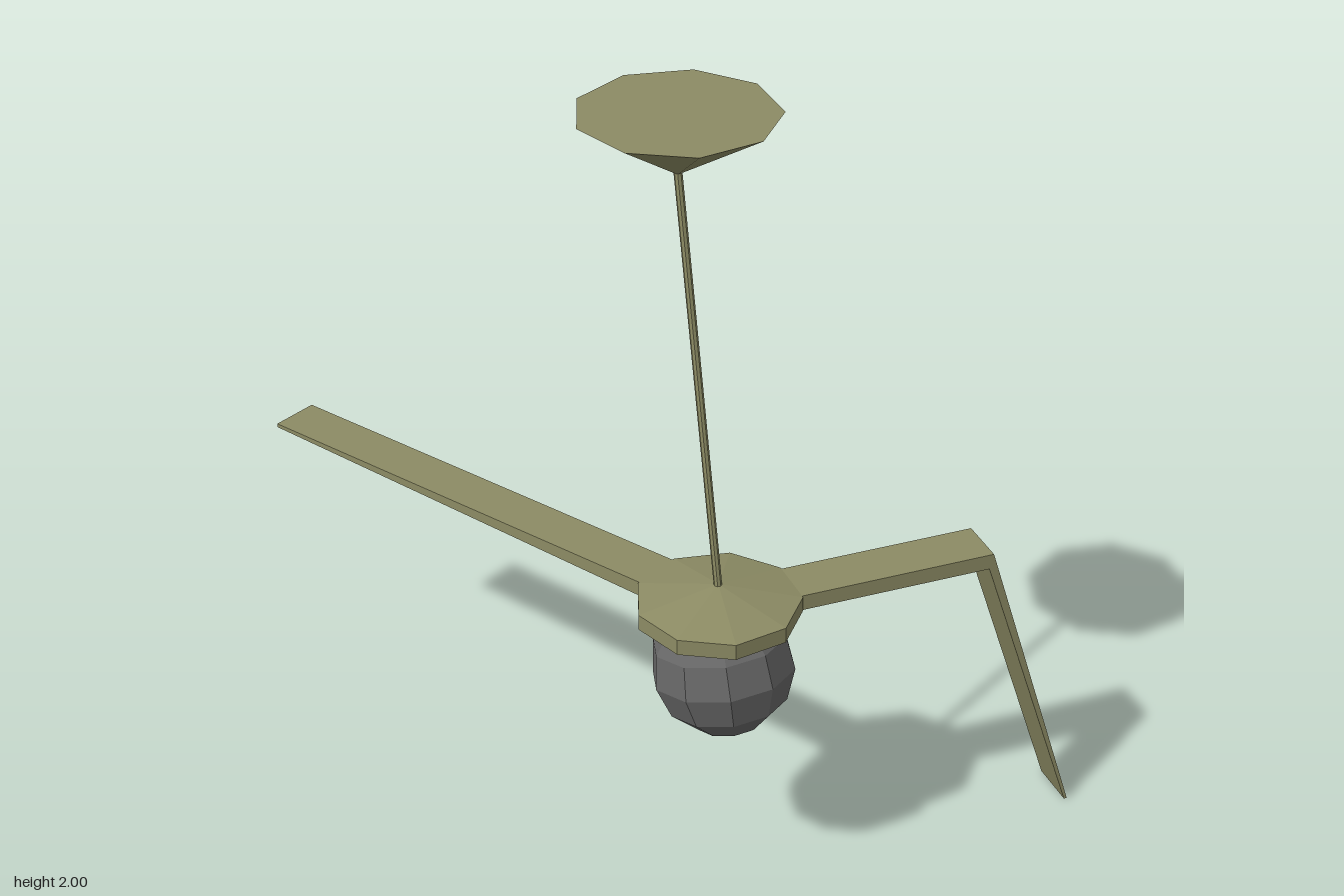
import * as THREE from 'three';

const bronze = new THREE.MeshStandardMaterial({ color: 0x8c8b64, flatShading: true });
const glass = new THREE.MeshStandardMaterial({ color: 0x666666, flatShading: true, side: THREE.DoubleSide });

const CENTER = new THREE.Vector3(0.5, 0, 0.3);
const CANOPY_X = 0.355;
const BLADE_WIDTH = 0.126;

function addMesh(parent, name, geometry, material) {
  const mesh = new THREE.Mesh(geometry, material);
  mesh.name = name;
  parent.add(mesh);
  return mesh;
}

// Nine-sided turned part standing on its own axis, one corner to the back
function turned(points) {
  return new THREE.LatheGeometry(points.map(([r, y]) => new THREE.Vector2(r, y)), 9, Math.PI);
}

// Blade from a side profile (distance from hub, height), swung round the hub
function addBlade(parent, name, profile, degrees) {
  const shape = new THREE.Shape(profile.map(([d, y]) => new THREE.Vector2(d, y)));
  const geometry = new THREE.ExtrudeGeometry(shape, { depth: BLADE_WIDTH, bevelEnabled: false });
  geometry.translate(0, 0, -BLADE_WIDTH / 2);
  const blade = addMesh(parent, name, geometry, bronze);
  blade.position.copy(CENTER);
  blade.rotation.y = THREE.MathUtils.degToRad(degrees);
}

export function createModel() {
  const fan = new THREE.Group();
  fan.name = 'brokenCeilingFan';

  // Ceiling canopy: inverted cone
  const canopy = addMesh(fan, 'canopy', turned([[0, 1.85], [0.236, 2], [0, 2]]), bronze);
  canopy.position.set(CANOPY_X, 0, CENTER.z);

  // Leaning rod from canopy to hub
  const top = new THREE.Vector3(CANOPY_X, 1.86, CENTER.z);
  const bottom = new THREE.Vector3(CENTER.x, 0.83, CENTER.z);
  const direction = top.clone().sub(bottom);
  const rod = addMesh(fan, 'rod', new THREE.CylinderGeometry(0.01, 0.01, direction.length(), 8), bronze);
  rod.position.copy(top).add(bottom).multiplyScalar(0.5);
  rod.quaternion.setFromUnitVectors(new THREE.Vector3(0, 1, 0), direction.normalize());

  // Hub: flat disc with a shallow peak
  const hub = addMesh(fan, 'hub', turned([[0, 0.76], [0.2, 0.76], [0.2, 0.8], [0, 0.84]]), bronze);
  hub.position.copy(CENTER);

  // Lamp globe, open at the top and hanging askew
  const cut = THREE.MathUtils.degToRad(40);
  const globe = addMesh(fan, 'lampGlobe',
    new THREE.SphereGeometry(0.176, 10, 5, 0, Math.PI * 2, cut, Math.PI - cut), glass);
  globe.position.set(0.515, 0.623, 0.297);
  globe.rotation.z = THREE.MathUtils.degToRad(11);

  // Whole blade, thinning to its tip
  addBlade(fan, 'straightBlade', [[0.1, 0.76], [1.4, 0.78], [1.4, 0.79], [0.1, 0.8]], 190);

  // Snapped blade, bent down to the floor
  addBlade(fan, 'bentBlade',
    [[0.1, 0.76], [0.68, 0.76], [0.935, 0], [0.943, 0], [0.69, 0.8], [0.1, 0.8]], 70);

  return fan;
}
